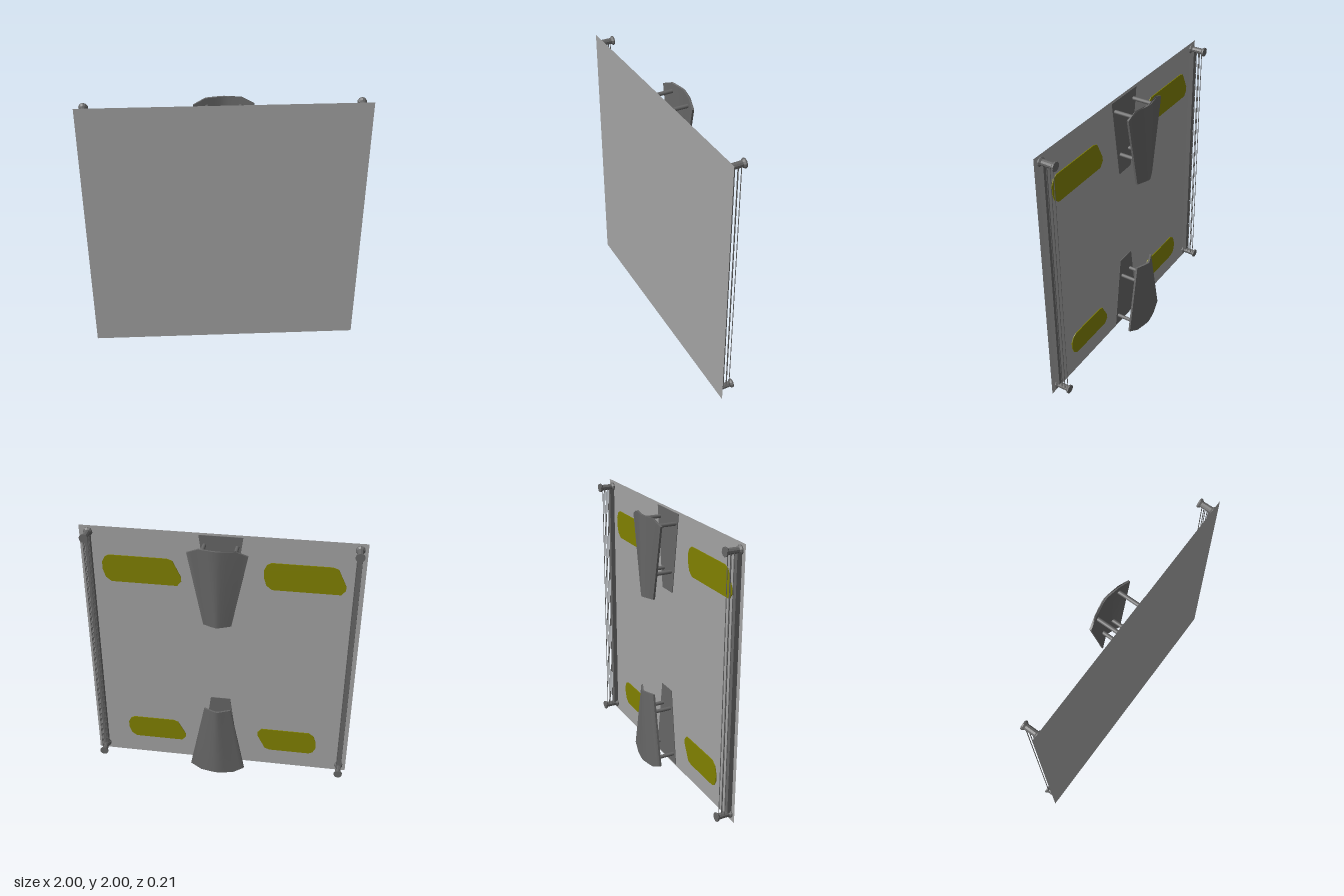
import * as THREE from 'three';
import { toCreasedNormals } from 'three/addons/utils/BufferGeometryUtils.js';

const BACK = 0.104; // z of the flat panel

function material(name, color, side = THREE.FrontSide) {
  const m = new THREE.MeshStandardMaterial({ color, side });
  m.name = name;
  return m;
}

function add(parent, name, geometry, mat, x = 0, y = 0, z = 0) {
  const mesh = new THREE.Mesh(geometry, mat);
  mesh.name = name;
  mesh.position.set(x, y, z);
  parent.add(mesh);
  return mesh;
}

function plate(points, depth) {
  const shape = new THREE.Shape(points.map(([x, y]) => new THREE.Vector2(x, y)));
  return new THREE.ExtrudeGeometry(shape, { depth, bevelEnabled: false });
}

// Ridged cross-section swept upwards, widening towards the chamfered end
function shieldGeometry() {
  const ts = [-1, -0.85, -0.6, -0.3, -0.12, 0, 0.12, 0.3, 0.6, 0.85, 1];
  const ridge = t => 0.107 - 0.04 * (Math.sqrt(t * t + 0.02) - 0.14) / 0.87;
  const outer = ts.map(t => [t, ridge(t)]);
  const inner = ts.map(t => [t, ridge(t) - 0.015]).reverse();
  const g = plate([...outer, ...inner], 1);
  const p = g.attributes.position;
  for (let i = 0; i < p.count; i++) {
    const t = p.getX(i), s = p.getY(i), d = p.getZ(i);
    const drop = d * 0.04 * Math.max(0, (Math.abs(t) - 0.6) / 0.4);
    p.setXYZ(i, t * (0.1 + 0.11 * d), 1.375 + 0.595 * d - drop, -s);
  }
  return toCreasedNormals(g, 0.5);
}

export function createModel() {
  const model = new THREE.Group();
  model.name = 'panelAssembly';
  const panelGrey = material('panel grey', 0xa3a3a3, THREE.DoubleSide);
  const darkGrey = material('dark grey', 0x666666);
  const olive = material('olive', 0x808000);

  // Thin square sheet
  add(model, 'panel', new THREE.PlaneGeometry(2, 2), panelGrey, 0, 1, BACK);

  // Two shields with base plates and struts; the lower one is turned half round
  const shieldGeo = shieldGeometry();
  const baseGeo = plate([[-0.075, 1.39], [0.075, 1.39], [0.155, 1.985], [-0.155, 1.985]], 0.004);
  for (const turn of [0, Math.PI]) {
    const unit = new THREE.Group();
    unit.name = turn ? 'lowerShield' : 'upperShield';
    add(unit, 'shield', shieldGeo, darkGrey);
    add(unit, 'basePlate', baseGeo, darkGrey, 0, 0, 0.0985);
    for (const [x, y, end] of [[0.115, 1.91, -0.076], [0.055, 1.545, -0.086]]) {
      const strut = new THREE.CylinderGeometry(0.014, 0.014, 0.1 - end, 12).rotateX(Math.PI / 2);
      for (const side of [-1, 1]) add(unit, 'strut', strut, darkGrey, side * x, y, (0.1 + end) / 2);
    }
    unit.rotation.z = turn;
    unit.position.y = turn ? 2 : 0;
    model.add(unit);
  }

  // Side rails with a spool at each end and thin cables between them
  const spoolProfile = [[0, -0.012], [0.033, -0.012], [0.033, -0.002], [0.022, 0.01],
    [0.022, 0.085], [0.033, 0.096], [0.033, 0.1035], [0, 0.1035]];
  const spool = toCreasedNormals(new THREE.LatheGeometry(
    spoolProfile.map(([r, z]) => new THREE.Vector2(r, z)), 10).rotateX(Math.PI / 2), 0.4);
  const rail = new THREE.BoxGeometry(0.036, 1.87, 0.034);
  const cable = new THREE.CylinderGeometry(0.003, 0.003, 1.88, 6);
  for (const x of [-0.946, 0.936]) {
    const side = new THREE.Group();
    side.name = x < 0 ? 'rightRail' : 'leftRail';
    add(side, 'rail', rail, darkGrey, 0, 1.004, 0.0865);
    for (const y of [0.052, 1.952]) add(side, 'spool', spool, darkGrey, 0, y, 0);
    for (const dx of [-0.017, 0.017])
      for (const z of [0.022, 0.048]) add(side, 'cable', cable, darkGrey, dx, 1.004, z);
    side.position.x = x;
    model.add(side);
  }

  // Olive pads: one end rounded, the other slanted
  const padGeo = (x0, x1, y0, y1) => {
    const h = y1 - y0;
    return plate([
      [x0 + 0.03, y0], [x1 - 0.06, y0], [x1 - 0.02, y0 + 0.15 * h], [x1, y0 + 0.45 * h],
      [x1, y0 + 0.72 * h], [x1 - 0.02, y0 + 0.92 * h], [x1 - 0.05, y1],
      [x0 + 0.1, y1], [x0 + 0.06, y0 + 0.93 * h], [x0, y0 + 0.33 * h], [x0, y0 + 0.18 * h],
    ], 0.006);
  };
  add(model, 'upperLeftPad', padGeo(0.283, 0.85, 1.575, 1.785), olive, 0, 0, 0.0955);
  add(model, 'upperRightPad', padGeo(-0.875, -0.303, 1.6, 1.81), olive, 0, 0, 0.0955);
  add(model, 'lowerLeftPad', padGeo(0.28, 0.74, 0.16, 0.35), olive, 0, 0, 0.0955);

  // The last pad is the same outline turned half round
  const turned = padGeo(-0.23, 0.23, -0.1, 0.1).rotateZ(Math.PI);
  add(model, 'lowerRightPad', turned, olive, -0.525, 0.245, 0.0955);

  return model;
}
